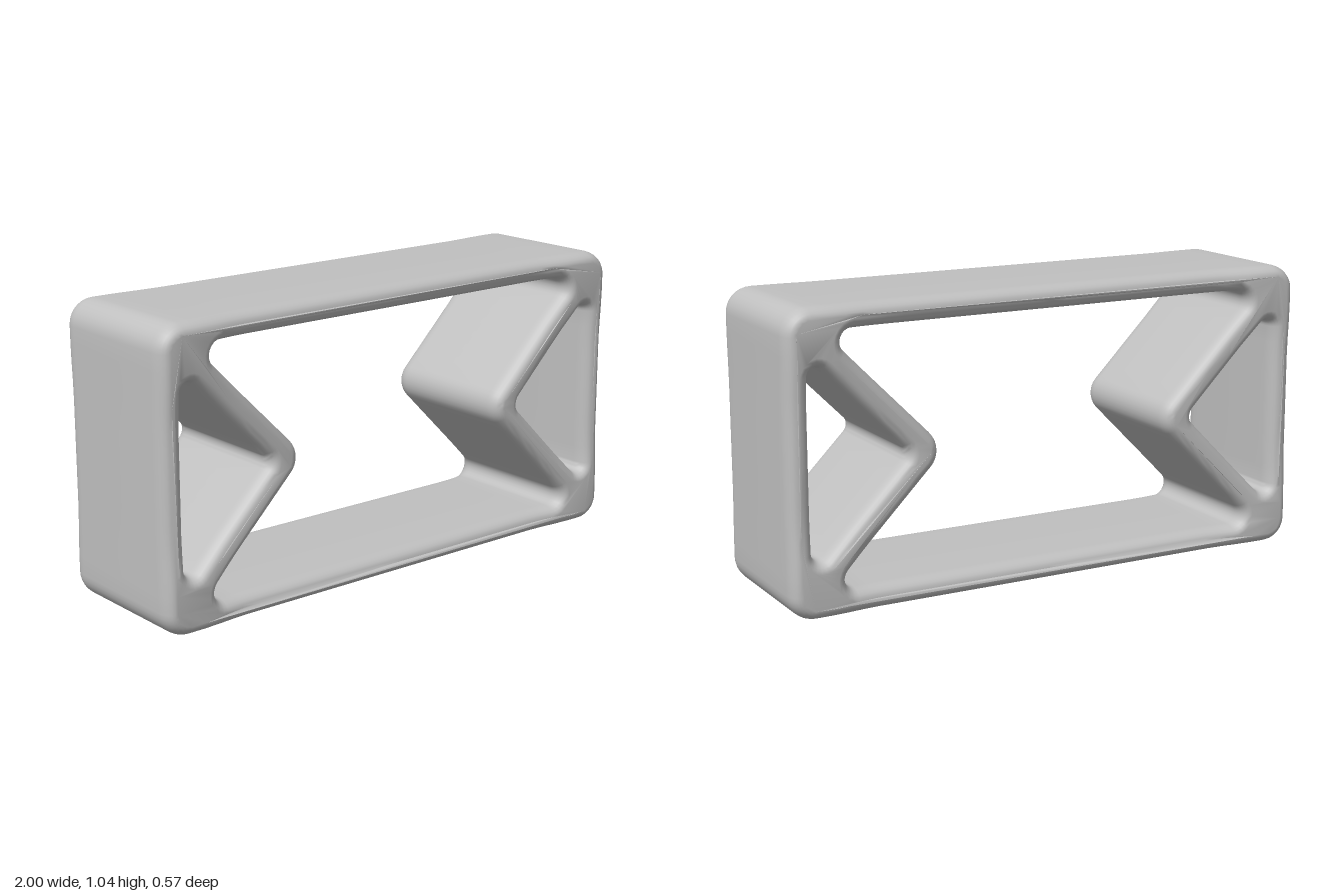
import * as THREE from 'three';
import { toCreasedNormals } from 'three/addons/utils/BufferGeometryUtils.js';

const H = 1.045, MID = H / 2, DEPTH = 0.286;

// Outline with each [x, y, radius] corner rounded and straight edges subdivided
function roundedOutline(corners) {
  const n = corners.length, pts = [];
  const v = (c) => new THREE.Vector2(c[0], c[1]);
  corners.forEach((c, i) => {
    const p = v(c), r = c[2];
    const a = v(corners[(i + n - 1) % n]).sub(p).normalize();
    const b = v(corners[(i + 1) % n]).sub(p).normalize();
    const half = Math.acos(a.dot(b)) / 2;
    const centre = a.clone().add(b).normalize().multiplyScalar(r / Math.sin(half)).add(p);
    const start = a.clone().multiplyScalar(r / Math.tan(half)).add(p).sub(centre);
    const sweep = (Math.PI - 2 * half) * Math.sign(b.cross(a));
    for (let k = 0; k <= 8; k++) {
      pts.push(start.clone().rotateAround(new THREE.Vector2(), -sweep * k / 8 * -1).add(centre));
    }
  });
  const out = [];
  pts.forEach((p, i) => {
    const q = pts[(i + 1) % pts.length];
    const steps = Math.max(1, Math.round(p.distanceTo(q) / 0.06));
    for (let k = 0; k < steps; k++) out.push(p.clone().lerp(q, k / steps));
  });
  return out;
}

// Half depth: thin along the bars, fuller at the four joints
function halfDepth(x, y) {
  const d = Math.hypot(Math.abs(x) - 0.91, Math.abs(y - MID) - 0.43);
  const joint = 1 - THREE.MathUtils.smoothstep(d, 0.08, 0.26);
  const inset = Math.abs(y - MID) < 0.4 ? 0.278 : 0.271;
  return inset + (DEPTH - inset) * joint;
}

export function createModel() {
  const group = new THREE.Group();
  const grey = new THREE.MeshStandardMaterial({ color: 0xc0c0c0 });
  grey.name = 'plain grey';

  // Outer rectangle
  const shape = new THREE.Shape(roundedOutline([
    [-1, 0, 0.09], [1, 0, 0.09], [1, H, 0.09], [-1, H, 0.09],
  ]));

  // Large central opening, notched by the two chevron braces
  const top = 0.962, bottom = H - top, tip = 0.415, end = tip + top - MID;
  shape.holes.push(new THREE.Path(roundedOutline([
    [-end, bottom, 0.04], [-tip, MID, 0.085], [-end, top, 0.04],
    [end, top, 0.04], [tip, MID, 0.085], [end, bottom, 0.04],
  ])));

  // Triangular opening at each end
  const wall = 0.916, apex = 0.555, rise = wall - apex;
  for (const s of [-1, 1]) {
    shape.holes.push(new THREE.Path(roundedOutline([
      [s * apex, MID, 0.035], [s * wall, MID + rise, 0.027], [s * wall, MID - rise, 0.027],
    ])));
  }

  const bevel = 0.06;
  let geometry = new THREE.ExtrudeGeometry(shape, {
    depth: 2 * (DEPTH - bevel), steps: 1, bevelEnabled: true,
    bevelThickness: bevel, bevelSize: 0.037, bevelOffset: -0.037, bevelSegments: 6,
  });
  geometry.translate(0, 0, bevel - DEPTH);

  // Swell the joints slightly in depth
  const pos = geometry.attributes.position;
  for (let i = 0; i < pos.count; i++) {
    pos.setZ(i, pos.getZ(i) * halfDepth(pos.getX(i), pos.getY(i)) / DEPTH);
  }
  // Centre the depth exactly
  geometry.computeBoundingBox();
  const box = geometry.boundingBox;
  geometry.translate(0, 0, -(box.min.z + box.max.z) / 2);
  geometry = toCreasedNormals(geometry, 0.9);

  const frame = new THREE.Mesh(geometry, grey);
  frame.name = 'bracedFrame';
  group.add(frame);
  return group;
}
